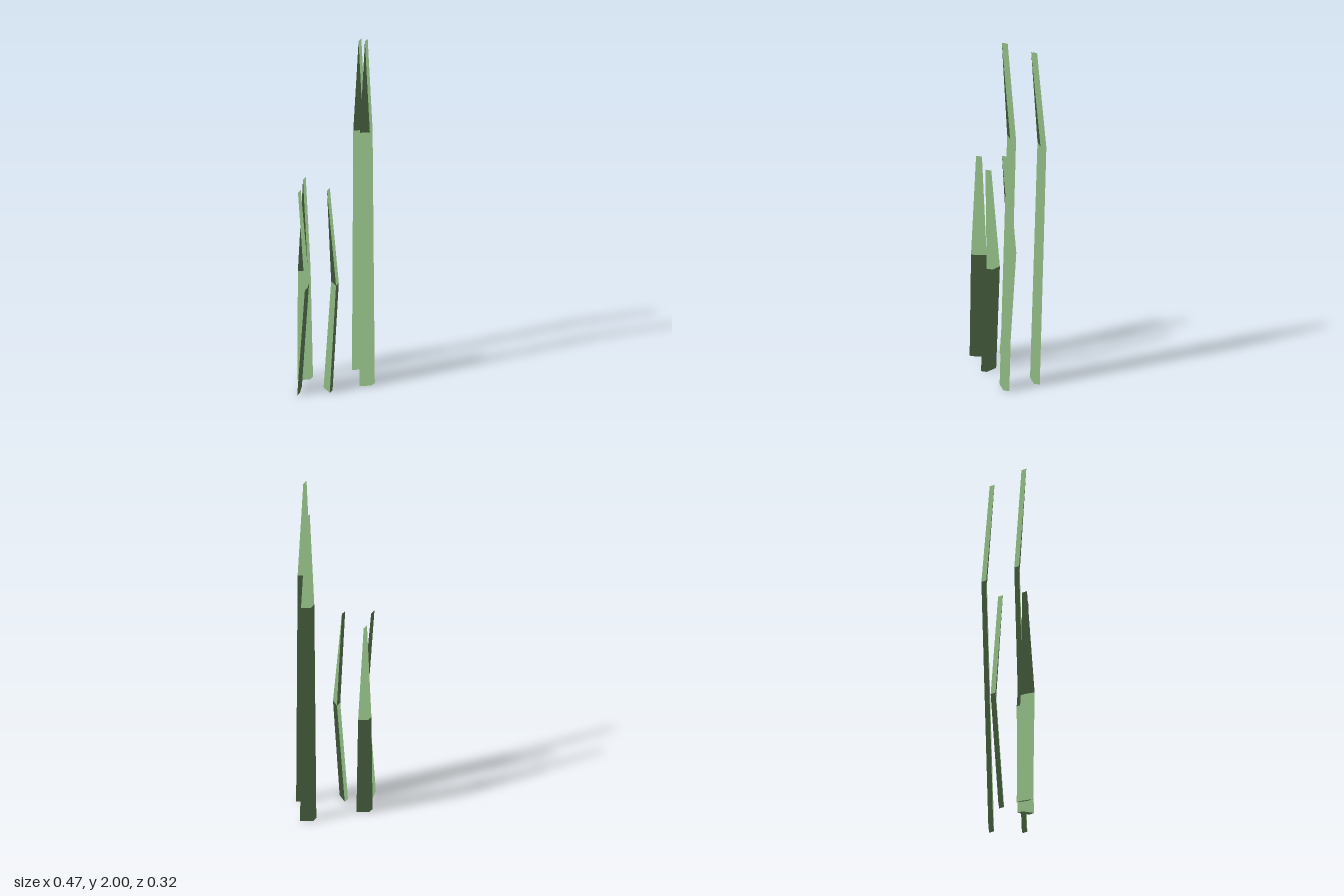
import * as THREE from 'three';

// every blade is a bent strip with the same sideways thickness [x, z]
const THICK = [0.028, -0.013];
const MID_TAPER = 0.78;

// base, mid, tip: one corner [x, z] at each level; width: base width direction
const BLADES = [
  { name: 'tallBladeFront', base: [0.067, 0.123], mid: [0.093, 0.095], tip: [0.093, 0.136], width: [0.055, 0.034], bend: 1.45, top: 2.0 },
  { name: 'tallBladeBack', base: [0.139, -0.028], mid: [0.167, -0.053], tip: [0.165, -0.007], width: [0.055, 0.034], bend: 1.37, top: 1.91 },
  { name: 'shortBladeBack', base: [-0.14, -0.117], mid: [-0.114, -0.147], tip: [-0.114, -0.105], width: [0.055, 0.034], bend: 0.61, top: 1.16 },
  { name: 'shortBladeSide', base: [-0.236, 0.003], mid: [-0.206, 0.027], tip: [-0.213, -0.02], width: [0.046, -0.043], bend: 0.61, top: 1.16 },
  { name: 'shortBladeFront', base: [-0.091, 0.084], mid: [-0.052, 0.085], tip: [-0.086, 0.055], width: [0.009, -0.062], bend: 0.61, top: 1.16 },
];

// four-cornered cross-section, counter-clockwise seen from above
function section([x, z], y, [wx, wz], taper) {
  const [dx, dz] = THICK;
  const corners = [[0, 0], [1, 0], [1, 1], [0, 1]].map(([a, b]) =>
    new THREE.Vector3(x + a * wx * taper + b * dx, y, z + a * wz * taper + b * dz));
  return wx * dz - wz * dx < 0 ? corners : corners.reverse();
}

function bladeGeometry({ base, mid, tip, width, bend, top }) {
  const rings = [
    section(base, 0, width, 1),
    section(mid, bend, width, MID_TAPER),
    section(tip, top, width, 0), // closes to a single edge
  ];
  const points = [];
  const triangle = (a, b, c) => {
    if (new THREE.Triangle(a, b, c).getArea() > 1e-8) points.push(a, b, c);
  };
  // sides
  for (let r = 0; r < 2; r++) {
    for (let i = 0; i < 4; i++) {
      const j = (i + 1) % 4;
      const lo = rings[r], hi = rings[r + 1];
      triangle(lo[i], lo[j], hi[j]);
      triangle(lo[i], hi[j], hi[i]);
    }
  }
  // underside
  const b = rings[0];
  triangle(b[0], b[2], b[1]);
  triangle(b[0], b[3], b[2]);

  // foliage normals: all straight up, so a blade shades evenly like the ground
  const geometry = new THREE.BufferGeometry().setFromPoints(points);
  const normals = points.flatMap(() => [0, 1, 0]);
  geometry.setAttribute('normal', new THREE.Float32BufferAttribute(normals, 3));
  return geometry;
}

export function createModel() {
  const group = new THREE.Group();
  group.name = 'grassTuft';
  const green = new THREE.MeshStandardMaterial({ color: 0x82a876 });
  green.name = 'leafGreen';
  for (const blade of BLADES) {
    const mesh = new THREE.Mesh(bladeGeometry(blade), green);
    mesh.name = blade.name;
    group.add(mesh);
  }
  return group;
}
